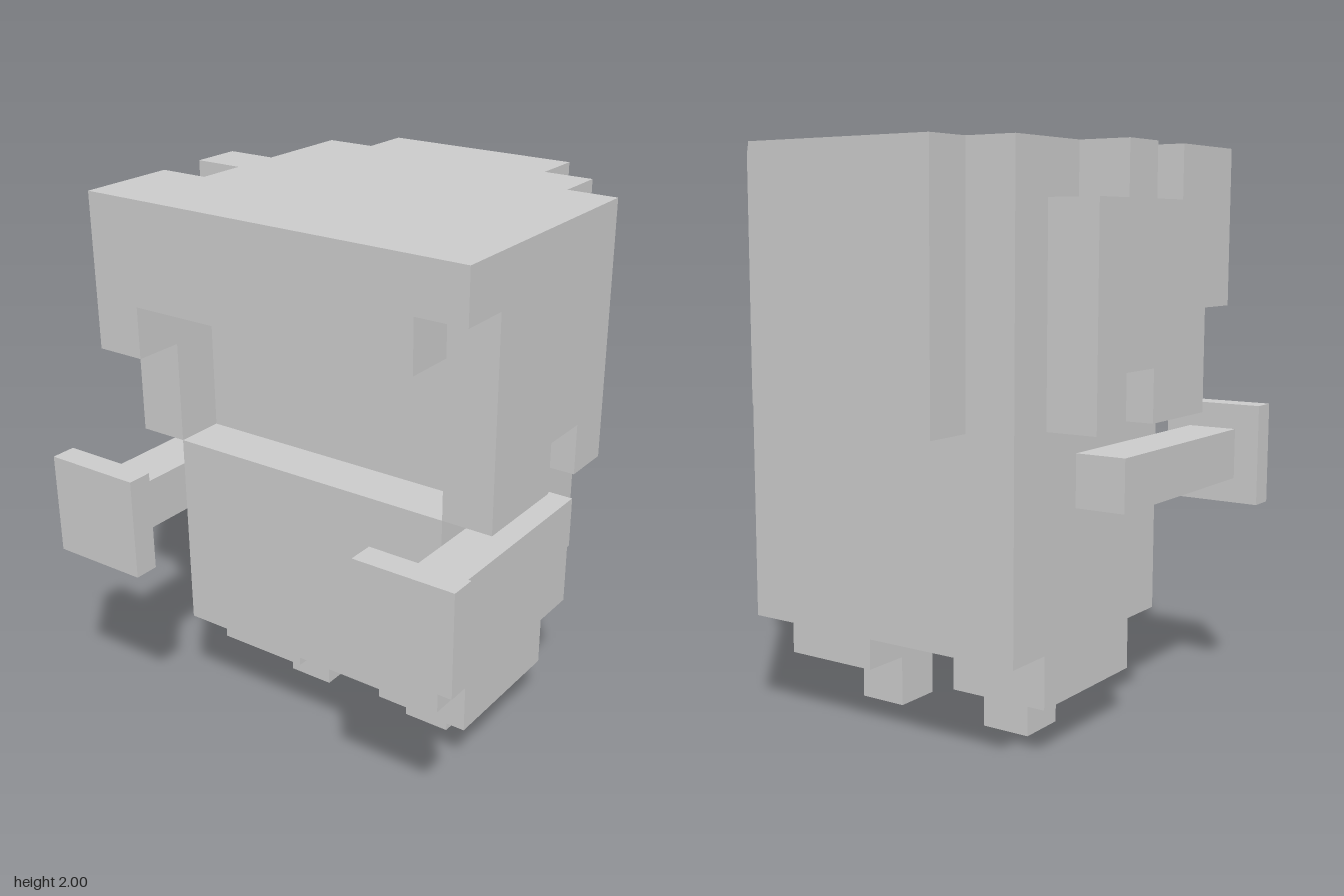
import * as THREE from 'three';

// One block of the grid; the figure is 11 blocks tall.
const U = 2 / 11;

export function createModel() {
  const model = new THREE.Group();
  const material = new THREE.MeshStandardMaterial({ color: 0xcccccc, flatShading: true });

  const add = (name, geometry) => {
    geometry.scale(U, U, U);
    const mesh = new THREE.Mesh(geometry, material);
    mesh.name = name;
    model.add(mesh);
  };

  // Box given by its [min, max] range on each axis, in blocks.
  const box = (name, [x0, x1], [y0, y1], [z0, z1]) =>
    add(name, new THREE.BoxGeometry(x1 - x0, y1 - y0, z1 - z0)
      .translate((x0 + x1) / 2, (y0 + y1) / 2, (z0 + z1) / 2));

  // One-block-thick slab with a stepped outline.
  const slab = (points) => new THREE.ExtrudeGeometry(
    new THREE.Shape(points.map(([a, b]) => new THREE.Vector2(a, b))),
    { depth: 1, bevelEnabled: false });

  // Torso and head, with the face set back one block
  box('torso', [-3, 3], [2, 6], [-3, 2]);
  box('head', [-3, 3], [6, 11], [-3, 1]);

  // Hair: back, brow and uneven fringe
  box('backHair', [-2, 2], [6, 11], [-4, -3]);
  box('brow', [-3, 3], [9, 11], [1, 2]);
  add('fringe', slab([
    [-4, 8], [-3, 8], [-3, 9], [3, 9], [3, 10], [4, 10], [4, 11], [-4, 11],
  ]).translate(0, 0, 2));

  // Side hair outlines are (-z, y); turning them puts the slab thickness along x
  const lower = [[-2, 6], [0, 6], [0, 7], [1, 7], [1, 6], [2, 6]];
  const sideHair = (name, upper, x) =>
    add(name, slab([...lower, ...upper]).rotateY(Math.PI / 2).translate(x, 0, 0));
  sideHair('leftSideHair', [[2, 11], [-2, 11]], 3);
  sideHair('rightSideHair', [
    [2, 10], [1, 10], [1, 11], [0, 11], [0, 10], [-1, 10], [-1, 11], [-2, 11],
  ], -4);

  // Limbs, mirrored
  for (const [side, s] of [['left', 1], ['right', -1]]) {
    const span = (a, b) => (s > 0 ? [a, b] : [-b, -a]);
    box(side + 'Arm', span(3, 4), [4.5, 5.5], [-1, 3.5]);
    box(side + 'Hand', span(2.5, 4.5), [4, 6], [3.5, 4]);
    box(side + 'Leg', span(1, 3), [1, 2], [-2, 1]);
    box(side + 'Foot', span(1, 2), [0, 1], [-1, 0]);
  }

  return model;
}
